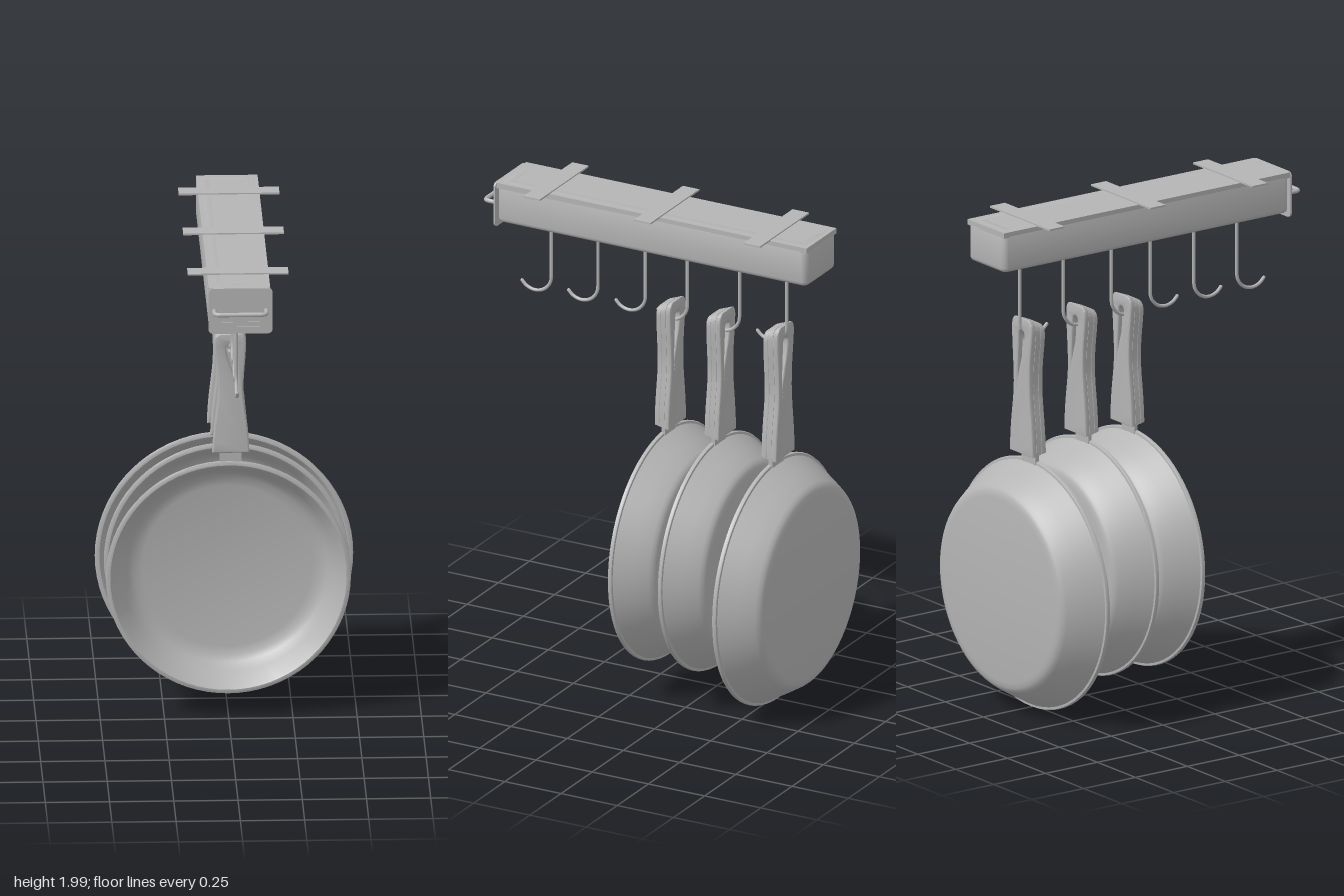
import * as THREE from 'three';
import { toCreasedNormals } from 'three/addons/utils/BufferGeometryUtils.js';

const steel = new THREE.MeshStandardMaterial({ color: 0xb4b4b4 });
steel.name = 'steelGrey';
const CX = 0.018; // centre line of the rail

function add(parent, name, geometry, x = 0, y = 0, z = 0) {
  const mesh = new THREE.Mesh(geometry, steel);
  mesh.name = name;
  mesh.position.set(x, y, z);
  parent.add(mesh);
  return mesh;
}

const box = (w, h, d) => new THREE.BoxGeometry(w, h, d);

function roundedRect(path, x0, y0, x1, y1, r) {
  path.moveTo(x0 + r, y0);
  path.lineTo(x1 - r, y0);
  path.quadraticCurveTo(x1, y0, x1, y0 + r);
  path.lineTo(x1, y1 - r);
  path.quadraticCurveTo(x1, y1, x1 - r, y1);
  path.lineTo(x0 + r, y1);
  path.quadraticCurveTo(x0, y1, x0, y1 - r);
  path.lineTo(x0, y0 + r);
  path.quadraticCurveTo(x0, y0, x0 + r, y0);
  return path;
}

// Ceiling rail: a trough open along its underside, with cross straps and an end pull
function createRail() {
  const rail = new THREE.Group();
  rail.name = 'rail';
  const b = 0.018;
  const shape = roundedRect(new THREE.Shape(), -0.12 + b, -0.69 + b, 0.12 - b, 0.69 - b, 0.012);
  shape.holes.push(roundedRect(new THREE.Path(), -0.072, -0.64, 0.072, 0.64, 0.025));
  let frame = new THREE.ExtrudeGeometry(shape, {
    depth: 0.165 - 2 * b, bevelSize: b, bevelThickness: b, bevelSegments: 4, curveSegments: 6,
  });
  frame.rotateX(Math.PI / 2);
  add(rail, 'railWalls', toCreasedNormals(frame, 0.6), CX, 1.995 - b, -0.035);
  add(rail, 'railTop', box(0.24, 0.022, 1.38), CX, 1.984, -0.035);

  [-0.525, -0.037, 0.455].forEach((z) => {
    add(rail, 'crossStrap', box(0.392, 0.007, 0.073), 0.019, 1.9965, z);
  });

  // End plate with rounded corners and two raised ribs
  const plate = new THREE.ExtrudeGeometry(
    roundedRect(new THREE.Shape(), -0.125, 1.81, 0.125, 1.995, 0.022),
    { depth: 0.008, bevelEnabled: false });
  add(rail, 'endPlate', plate, 0.022, 0, 0.655);
  [1.835, 1.855].forEach((y) => add(rail, 'endRib', box(0.15, 0.007, 0.006), 0.022, y, 0.664));

  // Bent wire pull
  const pullPath = new THREE.CurvePath();
  const v = (x, z) => new THREE.Vector3(x, 1.905, z);
  pullPath.add(new THREE.LineCurve3(v(-0.08, 0.66), v(-0.08, 0.695)));
  pullPath.add(new THREE.QuadraticBezierCurve3(v(-0.08, 0.695), v(-0.08, 0.717), v(-0.058, 0.717)));
  pullPath.add(new THREE.LineCurve3(v(-0.058, 0.717), v(0.1, 0.717)));
  pullPath.add(new THREE.QuadraticBezierCurve3(v(0.1, 0.717), v(0.122, 0.717), v(0.122, 0.695)));
  pullPath.add(new THREE.LineCurve3(v(0.122, 0.695), v(0.122, 0.66)));
  add(rail, 'endPull', new THREE.TubeGeometry(pullPath, 60, 0.009, 8));
  return rail;
}

// Long wire hook curling forward
function createHook(z) {
  const path = new THREE.CurvePath();
  const pts = [];
  for (let i = 0; i <= 8; i++) {
    const a = Math.PI * (1 + (i / 8) * 0.8);
    pts.push(new THREE.Vector3(0, 1.59 + 0.071 * Math.sin(a), 0.072 + 0.072 * Math.cos(a)));
  }
  path.add(new THREE.LineCurve3(new THREE.Vector3(0, 1.975, 0), pts[0]));
  path.add(new THREE.CatmullRomCurve3(pts));
  const hook = new THREE.Group();
  hook.name = 'hook';
  add(hook, 'hookWire', new THREE.TubeGeometry(path, 90, 0.007, 8));
  add(hook, 'hookTip', new THREE.SphereGeometry(0.007, 8, 6)).position.copy(pts[8]);
  hook.position.set(0.011, 0, z);
  return hook;
}

// Waisted grip outline, bottom edge first
function gripShape(inset) {
  const s = new THREE.Shape();
  const k = inset, bot = 0.508 + k, top = 1.016 - k;
  s.moveTo(-0.07 + k, bot);
  s.lineTo(0.073 - k, bot);
  s.bezierCurveTo(0.07 - k, 0.66, 0.046 - k, 0.7, 0.05 - k, 0.8);
  s.bezierCurveTo(0.054 - k, 0.88, 0.06 - k, 0.92, 0.06 - k, 0.975);
  s.quadraticCurveTo(0.06 - k, top, 0.032, top);
  s.lineTo(-0.032, top);
  s.quadraticCurveTo(-0.064 + k, top, -0.064 + k, 0.975);
  s.bezierCurveTo(-0.062 + k, 0.92, -0.05 + k, 0.88, -0.048 + k, 0.8);
  s.bezierCurveTo(-0.045 + k, 0.7, -0.064 + k, 0.66, -0.07 + k, bot);
  return s;
}

// Slanted teardrop groove in the grip faces
function groovePath() {
  const p = new THREE.Path();
  p.moveTo(0.03, 0.74);
  p.bezierCurveTo(0.036, 0.82, 0.026, 0.9, 0.024, 0.95);
  p.bezierCurveTo(0.02, 0.985, -0.022, 0.985, -0.024, 0.95);
  p.bezierCurveTo(-0.022, 0.9, 0.01, 0.84, 0.03, 0.74);
  return p;
}

function gripLayer(hole, z0, z1, bevel) {
  const shape = gripShape(bevel);
  shape.holes.push(hole);
  const g = new THREE.ExtrudeGeometry(shape, {
    depth: z1 - z0 - 2 * bevel, bevelEnabled: bevel > 0, bevelSize: bevel,
    bevelThickness: bevel, bevelSegments: 3, curveSegments: 10,
  });
  g.translate(0, 0, z0 + bevel);
  // Slant both ends so the back is longer than the front
  const p = g.attributes.position;
  for (let i = 0; i < p.count; i++) {
    const t = (p.getY(i) - 0.762) / 0.255;
    p.setY(i, p.getY(i) - (p.getZ(i) + 0.0225) * (t > 0 ? 0.4 : 0.2) * t);
  }
  g.computeVertexNormals();
  return toCreasedNormals(g, 0.6);
}

// Frying pan, origin at the centre of its rim
function createPan(y, z, scale) {
  const pan = new THREE.Group();
  pan.name = 'pan';
  const profile = [
    [0, -0.16], [0.35, -0.16], [0.37, -0.157], [0.384, -0.15], [0.394, -0.138],
    [0.425, -0.088], [0.465, -0.018], [0.474, -0.017], [0.477, -0.01], [0.476, -0.003],
    [0.47, 0], [0.46, 0], [0.453, -0.006], [0.415, -0.088], [0.388, -0.125],
    [0.365, -0.14], [0.33, -0.147], [0, -0.15],
  ].map(([r, h]) => new THREE.Vector2(r, h));
  const body = new THREE.LatheGeometry(profile, 72);
  body.rotateX(Math.PI / 2);
  add(pan, 'panBody', toCreasedNormals(body, 0.7));

  const handle = new THREE.Group();
  handle.name = 'panHandle';
  add(handle, 'neck', box(0.085, 0.06, 0.016), 0, 0.492, -0.013);
  const eye = new THREE.Path().absarc(0, 0.945, 0.022, 0, Math.PI * 2);
  add(handle, 'gripCore', gripLayer(eye, -0.033, -0.012, 0));
  add(handle, 'gripFront', gripLayer(groovePath(), -0.014, 0.01, 0.006));
  add(handle, 'gripBack', gripLayer(groovePath(), -0.055, -0.031, 0.006));
  handle.position.x = 0.008;
  pan.add(handle);

  pan.position.set(0, y, z);
  pan.scale.setScalar(scale);
  return pan;
}

export function createModel() {
  const model = new THREE.Group();
  model.name = 'hangingPanRack';
  model.add(createRail());
  [0.48, 0.273, 0.062, -0.125, -0.357, -0.567].forEach((z) => model.add(createHook(z)));
  model.add(createPan(0.578, -0.026, 1));
  model.add(createPan(0.578, -0.248, 1));
  model.add(createPan(0.512, -0.504, 1.055));
  return model;
}
